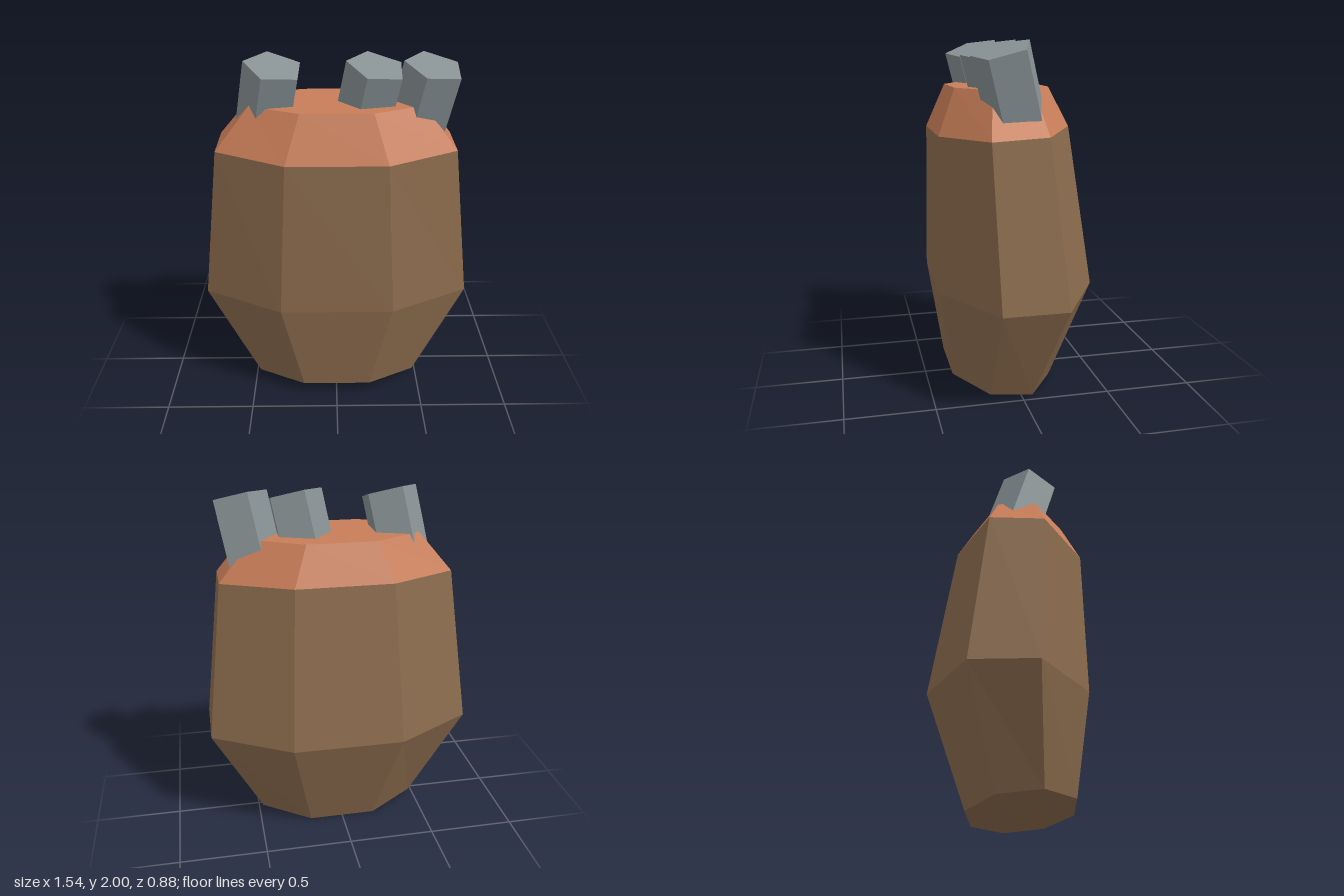
import * as THREE from 'three';

const SIDES = 8;

// Octagonal cross-section: half width, half depth, centre z, and heights at its front and back edges
function ring([halfX, halfZ, centreZ, frontY, backY]) {
  const points = [];
  for (let i = 0; i < SIDES; i++) {
    const t = ((i + 0.5) * Math.PI * 2) / SIDES;
    const c = Math.cos(t) / Math.cos(Math.PI / SIDES);
    const s = Math.sin(t) / Math.cos(Math.PI / SIDES);
    points.push([halfX * c, (frontY + backY) / 2 + ((frontY - backY) / 2) * s, centreZ + halfZ * s]);
  }
  return points;
}

// Faceted skin over the rings, closed at the bottom or the top
function loft(rings, capBottom, capTop) {
  const positions = [];
  const tri = (a, b, c) => positions.push(...a, ...b, ...c);
  for (let r = 0; r < rings.length - 1; r++) {
    for (let i = 0; i < SIDES; i++) {
      const j = (i + 1) % SIDES;
      const [low, high] = [rings[r], rings[r + 1]];
      tri(low[i], high[i], high[j]);
      tri(low[i], high[j], low[j]);
    }
  }
  const first = rings[0];
  const last = rings[rings.length - 1];
  for (let i = 1; i < SIDES - 1; i++) {
    if (capBottom) tri(first[0], first[i], first[i + 1]);
    if (capTop) tri(last[0], last[i + 1], last[i]);
  }
  const geometry = new THREE.BufferGeometry();
  geometry.setAttribute('position', new THREE.Float32BufferAttribute(positions, 3));
  geometry.computeVertexNormals();
  return geometry;
}

export function createModel() {
  const model = new THREE.Group();
  model.name = 'peggedStump';

  const brown = new THREE.MeshStandardMaterial({ name: 'brown', color: 0x8b6b4d, flatShading: true });
  const terracotta = new THREE.MeshStandardMaterial({ name: 'terracotta', color: 0xc87d58, flatShading: true });
  const grey = new THREE.MeshStandardMaterial({ name: 'grey', color: 0x879194, flatShading: true });

  const base = ring([0.475, 0.295, 0.065, 0.065, 0.005]);
  const belly = ring([0.77, 0.44, 0, 0.615, 0.615]);
  const shoulder = ring([0.667, 0.365, 0.063, 1.49, 1.53]);
  const rim = ring([0.475, 0.265, 0.06, 1.745, 1.745]);

  // Bulging body with a narrow, slightly tilted foot
  const body = new THREE.Mesh(loft([base, belly, shoulder], true, false), brown);
  body.name = 'body';

  // Bevelled top
  const crown = new THREE.Mesh(loft([shoulder, rim], false, true), terracotta);
  crown.name = 'crown';
  model.add(body, crown);

  // Leaning five-sided pegs, origin at the centre of the top face
  const length = 0.5;
  const pegGeometry = new THREE.CylinderGeometry(0.168, 0.168, length, 5, 1, false, -Math.PI / 2);
  pegGeometry.translate(0, -length / 2, 0);
  [-0.334, 0.218, 0.528].forEach((x, i) => {
    const peg = new THREE.Mesh(pegGeometry, grey);
    peg.name = `peg${i + 1}`;
    peg.position.set(x, 1.951, 0.132);
    peg.rotation.set(0.262, 0, -0.178, 'ZYX');
    model.add(peg);
  });

  return model;
}
